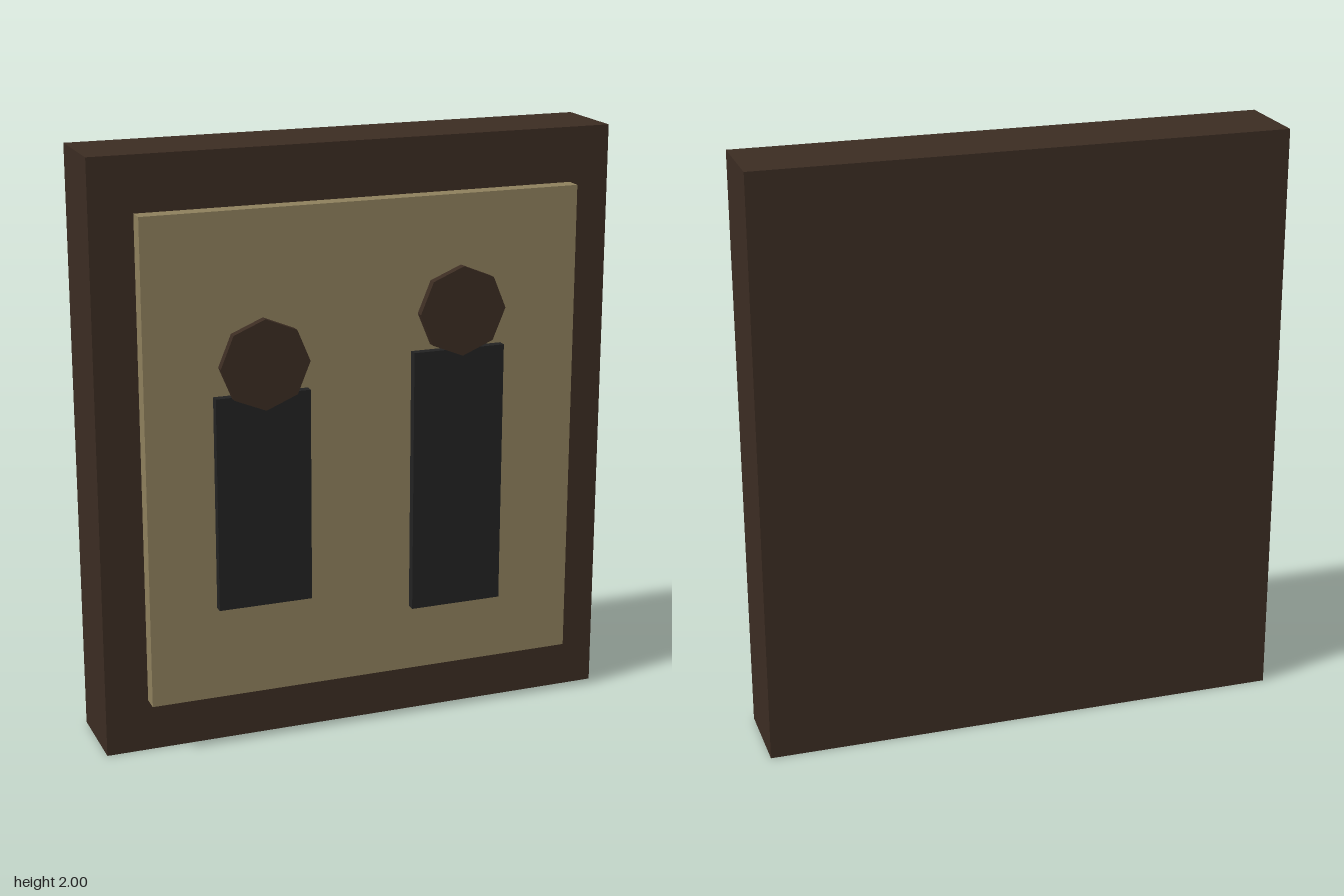
import * as THREE from 'three';

export function createModel() {
  const model = new THREE.Group();
  const paint = (name, color) => {
    const m = new THREE.MeshStandardMaterial({ color });
    m.name = name;
    return m;
  };
  const darkWood = paint('dark wood', 0x3b2c22);
  const canvas = paint('aged canvas', 0x8d7f5c);
  const black = paint('charcoal cloth', 0x222222);

  const add = (parent, name, geometry, material, x, y, z) => {
    const mesh = new THREE.Mesh(geometry, material);
    mesh.name = name;
    mesh.position.set(x, y, z);
    parent.add(mesh);
  };

  // Backing frame, with the painted panel floating just ahead of it
  add(model, 'frame', new THREE.BoxGeometry(1.78, 2, 0.283), darkWood, 0, 1, -0.0615);
  add(model, 'panel', new THREE.BoxGeometry(1.495, 1.636, 0.057), canvas, 0, 1, 0.118);

  // Two standing figures: a flat body and an eight-sided head
  const headShape = new THREE.CylinderGeometry(0.15, 0.15, 0.028, 8).toNonIndexed();
  headShape.rotateX(Math.PI / 2);
  headShape.computeVertexNormals();
  const figures = [
    { name: 'rightFigure', x: -0.36, bottom: 0.5, top: 1.22, headY: 1.324 },
    { name: 'leftFigure', x: 0.32, bottom: 0.41, top: 1.307, headY: 1.44 },
  ];
  for (const f of figures) {
    const figure = new THREE.Group();
    figure.name = f.name;
    const h = f.top - f.bottom;
    add(figure, 'body', new THREE.BoxGeometry(0.32, h, 0.029), black, f.x, f.bottom + h / 2, 0.161);
    add(figure, 'head', headShape, darkWood, f.x, f.headY, 0.189);
    model.add(figure);
  }
  return model;
}
